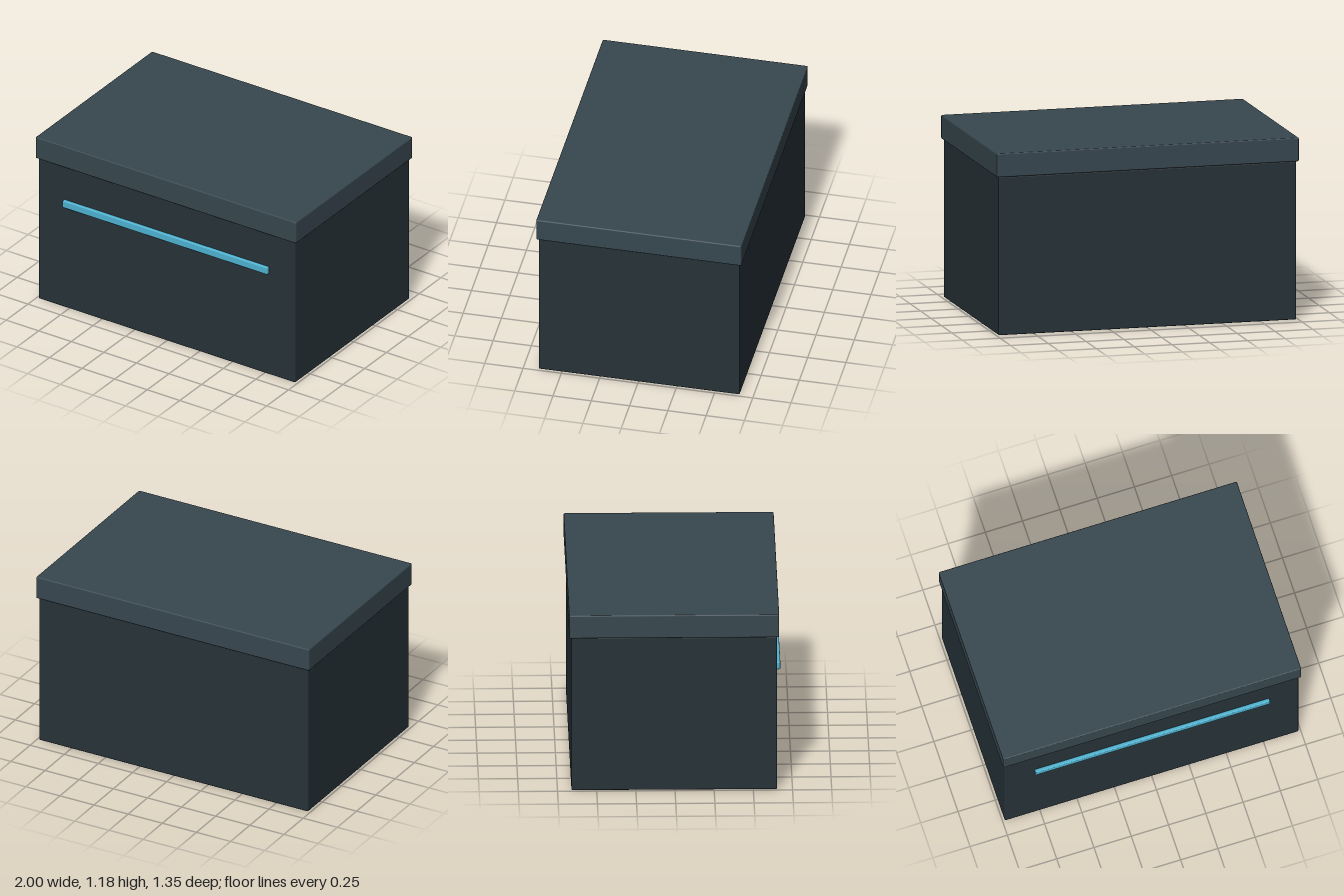
import * as THREE from 'three';
import { RoundedBoxGeometry } from 'three/addons/geometries/RoundedBoxGeometry.js';

// Box with slightly softened edges, given by its lower and upper corners
function softBox(name, [x0, y0, z0], [x1, y1, z1], radius, color) {
  const geometry = new RoundedBoxGeometry(x1 - x0, y1 - y0, z1 - z0, 2, radius);
  const mesh = new THREE.Mesh(geometry, new THREE.MeshStandardMaterial({ color }));
  mesh.position.set((x0 + x1) / 2, (y0 + y1) / 2, (z0 + z1) / 2);
  mesh.name = name;
  return mesh;
}

export function createModel() {
  const model = new THREE.Group();
  model.name = 'storageBox';
  model.add(
    // Main container
    softBox('body', [-0.985, 0, -0.661], [0.985, 1.03, 0.652], 0.008, 0x263238),
    // Overhanging lid
    softBox('lid', [-1, 1.03, -0.675], [1, 1.185, 0.665], 0.008, 0x37474f),
    // Slim accent bar on the front
    softBox('frontStrip', [-0.787, 0.739, 0.651], [0.787, 0.792, 0.676], 0.008, 0x4fb3d1),
  );
  return model;
}
